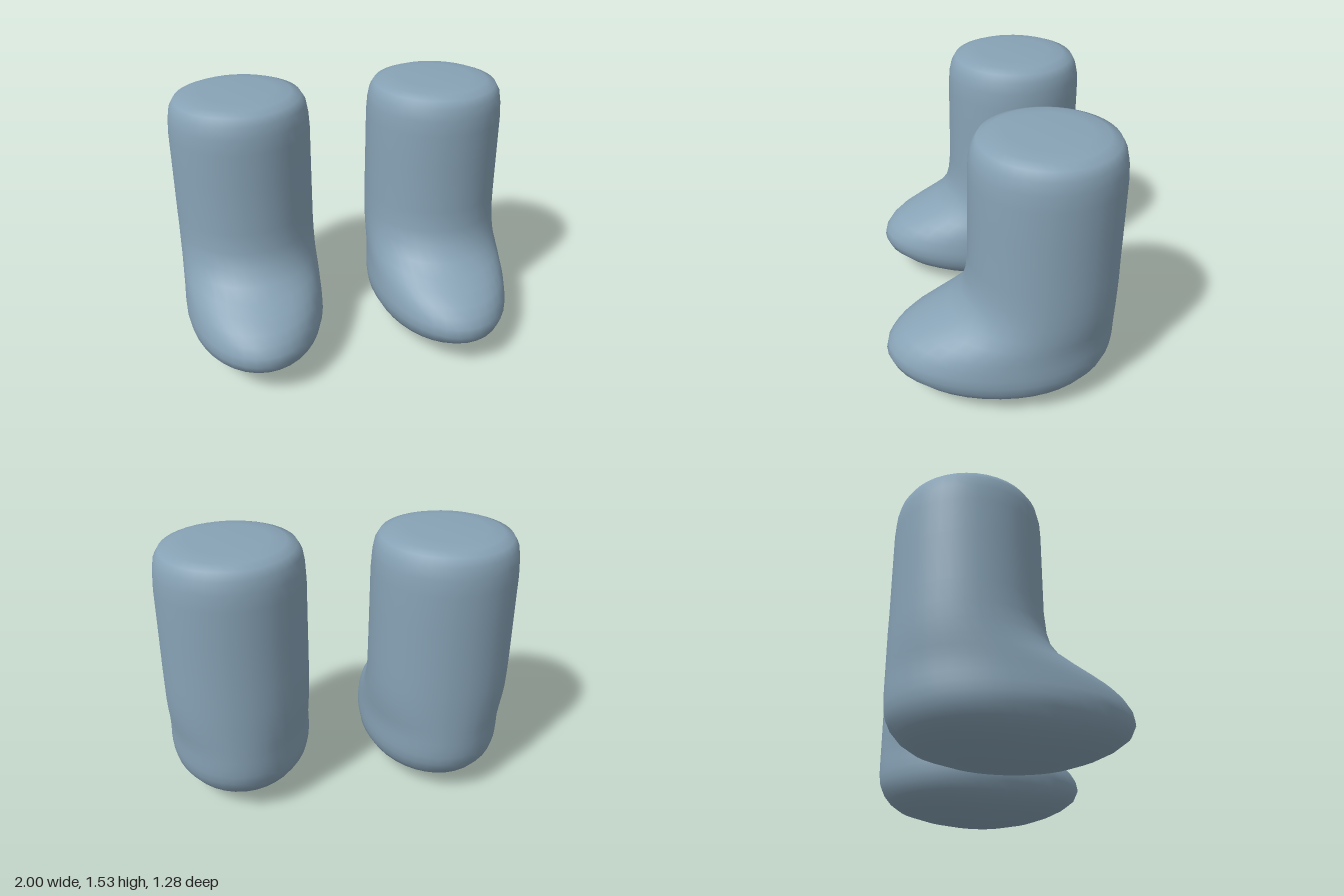
import * as THREE from 'three';

const SEGMENTS = 40;

// Level cross-sections from sole to rim:
// [height, back z, front z, half width, z of widest point, toe roundness]
const SECTIONS = [
  [0.008, -0.12, 0.10, 0.09, 0.00, 2],
  [0.025, -0.24, 0.22, 0.17, 0.00, 2],
  [0.055, -0.38, 0.36, 0.265, -0.02, 2],
  [0.092, -0.505, 0.465, 0.33, -0.04, 2],
  [0.135, -0.565, 0.55, 0.378, -0.05, 2],
  [0.185, -0.605, 0.615, 0.406, -0.06, 2],
  [0.24, -0.63, 0.64, 0.416, -0.06, 2],
  [0.29, -0.637, 0.63, 0.416, -0.07, 2],
  [0.34, -0.64, 0.597, 0.413, -0.08, 2],
  [0.385, -0.64, 0.545, 0.411, -0.09, 2],
  [0.43, -0.64, 0.465, 0.41, -0.11, 2],
  [0.475, -0.64, 0.38, 0.409, -0.14, 2],
  [0.53, -0.64, 0.285, 0.408, -0.18, 2],
  [0.61, -0.64, 0.217, 0.408, -0.21, 2],
  [0.70, -0.64, 0.19, 0.407, -0.225, 2],
  [0.82, -0.638, 0.178, 0.407, -0.23, 2],
  [1.10, -0.637, 0.175, 0.405, -0.23, 2],
  [1.30, -0.636, 0.173, 0.404, -0.23, 2],
  [1.39, -0.63, 0.168, 0.398, -0.23, 2],
  [1.455, -0.615, 0.153, 0.386, -0.23, 2],
  [1.498, -0.59, 0.128, 0.36, -0.23, 2],
  [1.519, -0.535, 0.07, 0.305, -0.23, 2],
  [1.529, -0.45, -0.01, 0.22, -0.23, 2],
];

function bootGeometry() {
  const points = [];
  const faces = [];
  for (const [y, back, front, half, mid, power] of SECTIONS) {
    for (let j = 0; j < SEGMENTS; j++) {
      const a = (j / SEGMENTS) * Math.PI * 2;
      const s = Math.sin(a), c = Math.cos(a);
      const e = c > 0 ? 2 / power : 1;
      const x = half * Math.sign(s) * Math.abs(s) ** e;
      const z = c > 0 ? mid + (front - mid) * c ** e : mid + (mid - back) * c;
      points.push(x, y, z);
    }
  }
  // Centres of the sole and the closed top
  const rows = SECTIONS.length;
  const sole = rows * SEGMENTS;
  const crown = sole + 1;
  points.push(0, 0, 0, 0, 1.53, -0.23);

  for (let j = 0; j < SEGMENTS; j++) {
    const k = (j + 1) % SEGMENTS;
    for (let i = 0; i < rows - 1; i++) {
      const a = i * SEGMENTS + j, b = i * SEGMENTS + k;
      faces.push(a, b, a + SEGMENTS, b, b + SEGMENTS, a + SEGMENTS);
    }
    const last = (rows - 1) * SEGMENTS;
    faces.push(sole, k, j, crown, last + j, last + k);
  }

  const geometry = new THREE.BufferGeometry();
  geometry.setAttribute('position', new THREE.Float32BufferAttribute(points, 3));
  geometry.setIndex(faces);
  geometry.computeVertexNormals();
  return geometry;
}

export function createModel() {
  const group = new THREE.Group();
  group.name = 'pairOfBoots';
  const material = new THREE.MeshStandardMaterial({ color: 0x87a2b5 });
  material.name = 'slate blue';
  const geometry = bootGeometry();

  // One boot on each side
  for (const [name, side] of [['leftBoot', 1], ['rightBoot', -1]]) {
    const boot = new THREE.Mesh(geometry, material);
    boot.name = name;
    boot.position.x = side * 0.583;
    group.add(boot);
  }
  return group;
}
